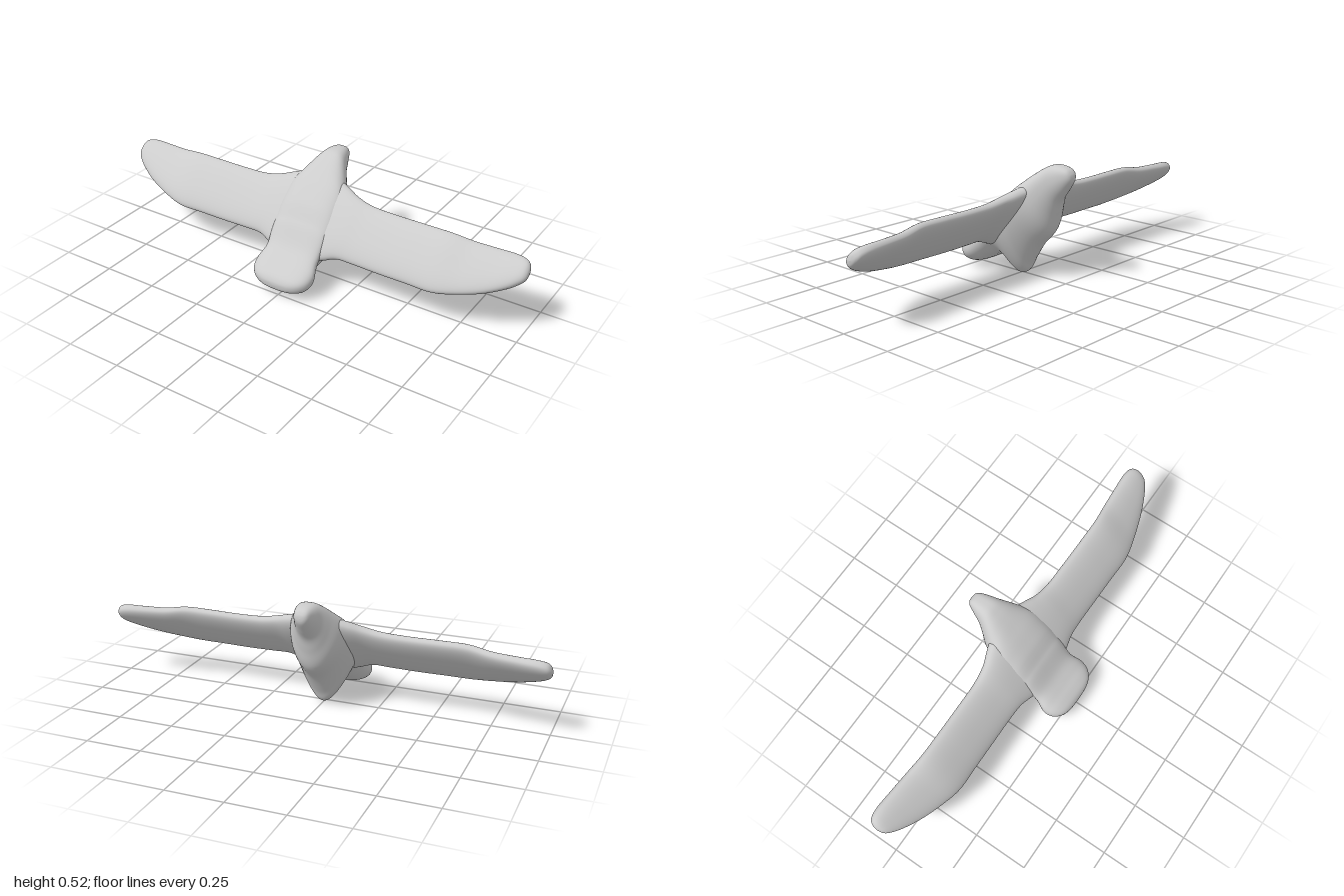
import * as THREE from 'three';

// Interpolate every column of a table of stations with a smooth spline
function smoothRows(rows, steps) {
  const splines = rows[0].map((_, c) =>
    new THREE.SplineCurve(rows.map((r) => new THREE.Vector2(r[c], 0))));
  return Array.from({ length: steps + 1 }, (_, i) =>
    splines.map((s) => s.getPoint(i / steps).x));
}

// Skin closed rings; point(row, angle) returns [x, y, z]
function loft(rows, point, ring, flip = false) {
  const pos = [], index = [];
  rows.forEach((row, i) => {
    for (let j = 0; j < ring; j++) {
      pos.push(...point(row, (j / ring) * Math.PI * 2));
      if (i === rows.length - 1) continue;
      const k = (j + 1) % ring;
      const a = i * ring + j, b = i * ring + k, c = a + ring, d = b + ring;
      if (flip) index.push(a, c, b, b, c, d);
      else index.push(a, b, c, b, d, c);
    }
  });
  const g = new THREE.BufferGeometry();
  g.setAttribute('position', new THREE.Float32BufferAttribute(pos, 3));
  g.setIndex(index);
  g.computeVertexNormals();
  return g;
}

// Signed power, squares off an ellipse a little
const soft = (v, p) => Math.sign(v) * Math.pow(Math.abs(v), p);

// Body stations, tail to head:
// back z, back y, belly z, belly y, half width, keel taper, roundness
const BODY = [
  [0.283, 0.065, 0.283, 0.065, 0, 0, 0.7],
  [0.281, 0.082, 0.277, 0.045, 0.065, 0, 0.7],
  [0.268, 0.103, 0.256, 0.029, 0.11, 0, 0.7],
  [0.24, 0.125, 0.22, 0.02, 0.138, 0, 0.7],
  [0.2, 0.15, 0.18, 0.03, 0.145, 0, 0.7],
  [0.15, 0.19, 0.14, 0.056, 0.136, 0.1, 0.75],
  [0.1, 0.26, 0.1, 0.073, 0.15, 0.35, 0.85],
  [0.075, 0.29, 0.065, 0.054, 0.163, 0.5, 0.9],
  [0.05, 0.325, 0.035, 0.016, 0.174, 0.6, 0.95],
  [0.03, 0.35, 0, 0, 0.178, 0.6, 0.95],
  [0, 0.38, -0.036, 0.013, 0.178, 0.58, 0.95],
  [-0.03, 0.408, -0.06, 0.06, 0.172, 0.52, 0.95],
  [-0.06, 0.433, -0.11, 0.14, 0.154, 0.4, 0.95],
  [-0.1, 0.465, -0.175, 0.212, 0.121, 0.25, 1],
  [-0.14, 0.493, -0.2, 0.295, 0.089, 0.15, 1],
  [-0.18, 0.513, -0.218, 0.355, 0.063, 0, 1],
  [-0.225, 0.515, -0.25, 0.402, 0.047, 0, 1],
  [-0.262, 0.506, -0.275, 0.438, 0.033, 0, 1],
  [-0.279, 0.489, -0.283, 0.456, 0.019, 0, 1],
  [-0.284, 0.472, -0.284, 0.472, 0, 0, 1],
];

// Wing stations, root to tip: x, centre y, centre z, half chord, half thickness, pitch
const WING = [
  [0, 0.275, 0, 0.19, 0.05, 0.87],
  [0.08, 0.275, 0.002, 0.188, 0.05, 0.87],
  [0.14, 0.277, 0.005, 0.166, 0.046, 0.87],
  [0.2, 0.278, 0.009, 0.141, 0.04, 0.87],
  [0.28, 0.27, 0.012, 0.131, 0.037, 0.87],
  [0.4, 0.267, 0.013, 0.13, 0.036, 0.87],
  [0.53, 0.268, 0.014, 0.13, 0.036, 0.87],
  [0.65, 0.268, 0.014, 0.13, 0.036, 0.86],
  [0.75, 0.269, -0.002, 0.116, 0.035, 0.8],
  [0.85, 0.279, -0.022, 0.098, 0.034, 0.78],
  [0.93, 0.293, -0.042, 0.076, 0.033, 0.76],
  [0.975, 0.301, -0.053, 0.053, 0.029, 0.75],
  [0.994, 0.301, -0.055, 0.03, 0.018, 0.75],
  [1, 0.3, -0.055, 0, 0, 0.75],
];

export function createModel() {
  const group = new THREE.Group();
  const material = new THREE.MeshStandardMaterial({ color: 0xcccccc, side: THREE.DoubleSide });
  const add = (name, geometry) => {
    const mesh = new THREE.Mesh(geometry, material);
    mesh.name = name;
    group.add(mesh);
  };

  // Body: fanned tail, broad shoulders, keel with tucked feet, and head in one skin
  add('body', loft(smoothRows(BODY, 114), ([tz, ty, bz, by, w, k, p], a) => {
    const u = Math.pow((1 - soft(Math.cos(a), 0.9)) / 2, 1.3);
    return [
      w * soft(Math.sin(a), p) * (1 - k * u),
      ty + (by - ty) * u,
      tz + (bz - tz) * u,
    ];
  }, 64));

  // Wings: pitched blades that flare gently into the shoulders
  for (const [name, side] of [['leftWing', 1], ['rightWing', -1]]) {
    add(name, loft(smoothRows(WING, 104), ([x, cy, cz, c, t, pitch], a) => {
      const along = c * soft(Math.cos(a), 0.9), up = t * soft(Math.sin(a), 0.8);
      return [
        side * x,
        cy + along * Math.sin(pitch) + up * Math.cos(pitch),
        cz - along * Math.cos(pitch) + up * Math.sin(pitch),
      ];
    }, 48, side < 0));
  }
  return group;
}
